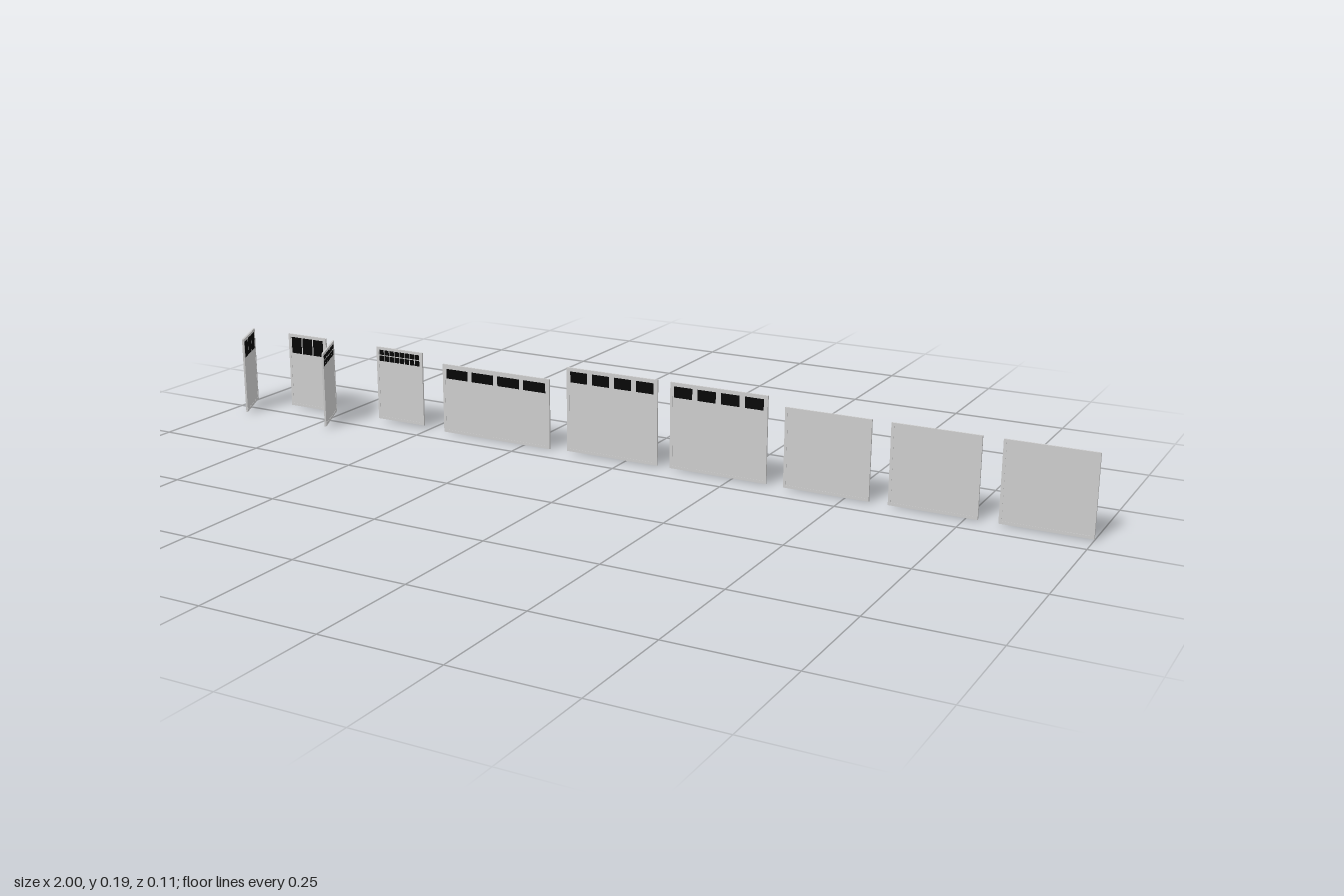
import * as THREE from 'three';

const grey = new THREE.MeshStandardMaterial({ color: 0xcccccc });
const black = new THREE.MeshStandardMaterial({ color: 0x050505 });
const DEPTH = 0.004, BORDER = 0.006;

function box(name, w, h, d, x, y, material) {
  const mesh = new THREE.Mesh(new THREE.BoxGeometry(w, h, d), material);
  mesh.name = name;
  mesh.position.set(x, y, 0);
  return mesh;
}

// Door hinged at its local origin, spanning local +x, with an optional grid of panes
function makeDoor({ name, width, bottom, top, panes }) {
  const door = new THREE.Group();
  door.name = name;
  const h = top - bottom, midY = (top + bottom) / 2;

  // Rim with a slightly recessed leaf inside it
  for (const s of [-1, 1]) {
    door.add(box('rimSide', BORDER, h, DEPTH, width / 2 + s * (width - BORDER) / 2, midY, grey));
    door.add(box('rimRail', width - 2 * BORDER, BORDER, DEPTH, width / 2, midY + s * (h - BORDER) / 2, grey));
  }
  door.add(box('leaf', width - 2 * BORDER, h - 2 * BORDER, DEPTH * 0.75, width / 2, midY, grey));

  // Window panes, showing on both faces
  if (panes) {
    const { cols, rows, y0, y1, margin, gap } = panes;
    const w = (width - 2 * margin - gap * (cols - 1)) / cols;
    const ph = (y1 - y0 - gap * (rows - 1)) / rows;
    for (let c = 0; c < cols; c++) for (let r = 0; r < rows; r++) {
      door.add(box('windowPane', w, ph, DEPTH * 0.9,
        margin + w / 2 + c * (w + gap), y0 + ph / 2 + r * (ph + gap), black));
    }
  }
  return door;
}

export function createModel() {
  const model = new THREE.Group();
  model.name = 'doorSet';

  const threePanes = { cols: 3, rows: 1, y0: 0.131, y1: 0.169, margin: 0.009, gap: 0.003 };
  const smallPanes = { cols: 8, rows: 2, y0: 0.143, y1: 0.17, margin: 0.008, gap: 0.002 };
  const lowPanes = { cols: 4, rows: 1, y0: 0.125, y1: 0.147, margin: 0.01, gap: 0.011 };
  const highPanes = { cols: 4, rows: 1, y0: 0.158, y1: 0.182, margin: 0.009, gap: 0.012 };

  // x of the hinge, width, bottom, top, swing angle, panes
  const doors = [
    ['openDoor', -0.998, 0.112, 0.003, 0.176, -1.1, threePanes],
    ['closedDoor', -0.893, 0.108, 0.003, 0.176, 0, threePanes],
    ['openSmallPaneDoor', -0.765, 0.125, 0.005, 0.174, -1.11, smallPanes],
    ['closedSmallPaneDoor', -0.641, 0.125, 0.006, 0.175, 0, smallPanes],
    ['wideGarageDoor', -0.461, 0.276, 0, 0.157, 0, lowPanes],
    ['tallGarageDoorA', -0.141, 0.219, 0.003, 0.19, 0, highPanes],
    ['tallGarageDoorB', 0.108, 0.221, 0.003, 0.19, 0, highPanes],
    ['plainDoorA', 0.367, 0.185, 0.002, 0.172, 0, null],
    ['plainDoorB', 0.592, 0.183, 0.002, 0.172, 0, null],
    ['plainDoorC', 0.816, 0.184, 0.002, 0.172, 0, null],
  ];
  for (const [name, x, width, bottom, top, swing, panes] of doors) {
    const door = makeDoor({ name, width, bottom, top, panes });
    door.position.set(x, 0, -0.055);
    door.rotation.y = swing;
    model.add(door);
  }
  return model;
}
